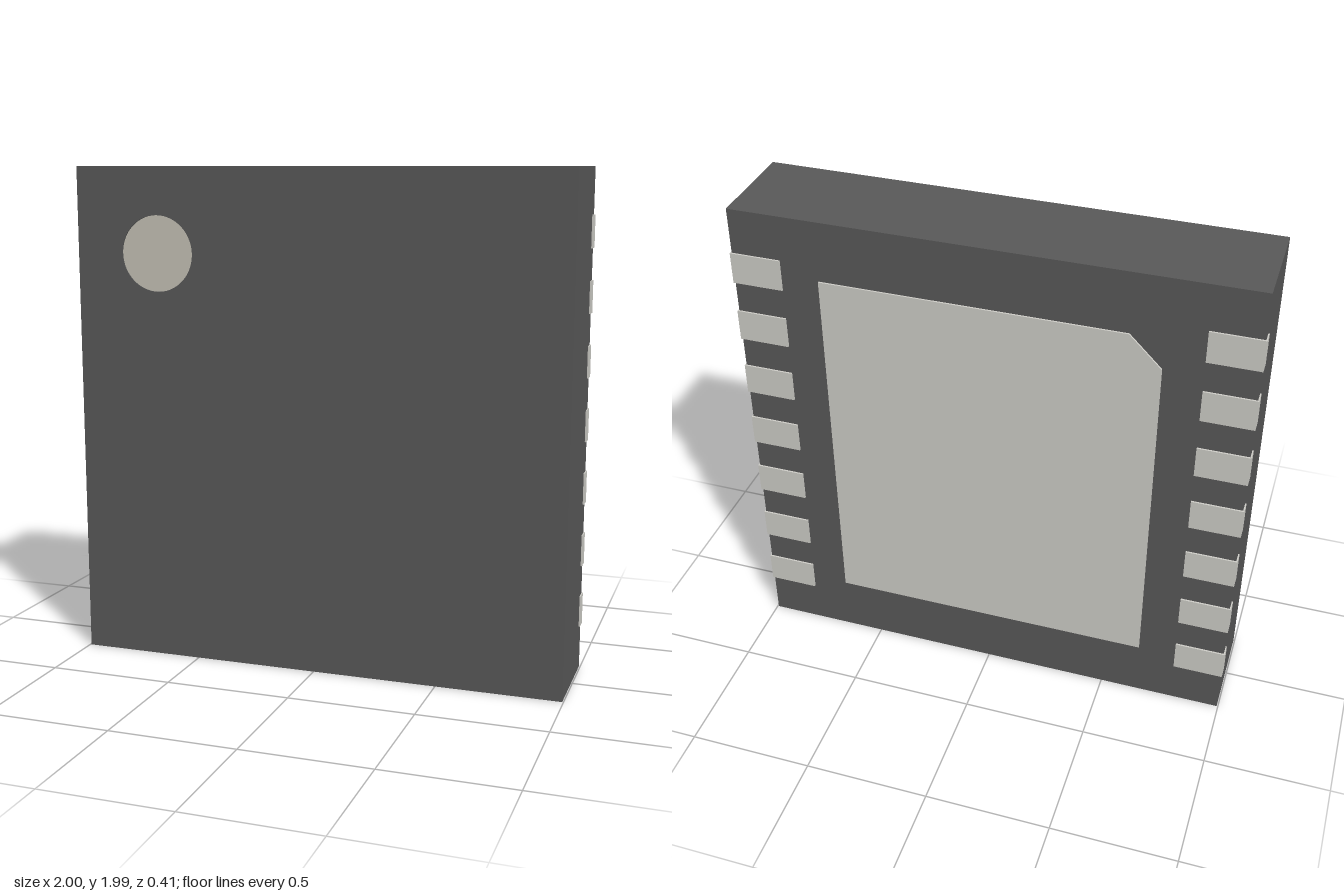
import * as THREE from 'three';

const HALF = 0.995, HEIGHT = 1.99;
const FRONT = 0.205, BACK = -0.198, PAD_BACK = -0.205;
const DOT = { x: -0.65, y: 1.65, r: 0.15, recess: 0.006 };

const bodyMat = new THREE.MeshStandardMaterial({ color: 0x595959 });
const dotMat = new THREE.MeshStandardMaterial({ color: 0xc6c3b7 });
const metalMat = new THREE.MeshStandardMaterial({ color: 0xcfcec8 });

function add(parent, name, geometry, material, x = 0, y = 0, z = 0) {
  const mesh = new THREE.Mesh(geometry, material);
  mesh.name = name;
  mesh.position.set(x, y, z);
  parent.add(mesh);
  return mesh;
}

function polygon(points) {
  return new THREE.Shape(points.map(([x, y]) => new THREE.Vector2(x, y)));
}

function extrude(shape, depth) {
  return new THREE.ExtrudeGeometry(shape, { depth, bevelEnabled: false, curveSegments: 48 });
}

export function createModel() {
  const model = new THREE.Group();
  model.name = 'chipPackage';

  // Moulded body: a solid slab behind a thin front skin with a round recess
  const body = new THREE.Group();
  body.name = 'body';
  model.add(body);
  const slabDepth = FRONT - DOT.recess - BACK;
  add(body, 'bodySlab', new THREE.BoxGeometry(2 * HALF, HEIGHT, slabDepth), bodyMat,
    0, HEIGHT / 2, BACK + slabDepth / 2);
  const skin = polygon([[-HALF, 0], [HALF, 0], [HALF, HEIGHT], [-HALF, HEIGHT]]);
  skin.holes.push(new THREE.Path().absarc(DOT.x, DOT.y, DOT.r, 0, Math.PI * 2, true));
  add(body, 'bodyFront', extrude(skin, DOT.recess), bodyMat, 0, 0, FRONT - DOT.recess);

  // Light disc on the floor of the recess
  add(model, 'cornerMarker', new THREE.CircleGeometry(DOT.r, 64), dotMat,
    DOT.x, DOT.y, FRONT - DOT.recess + 0.002);

  // Large back pad with one clipped corner
  const w = 0.65, low = 0.245, high = 1.745, clip = 0.125;
  const pad = polygon([[-w, low], [w, low], [w, high], [-w + clip, high], [-w, high - clip]]);
  add(model, 'thermalPad', extrude(pad, 0.05), metalMat, 0, 0, PAD_BACK);

  // Two columns of seven contacts wrapping the rear side edges
  const contacts = new THREE.Group();
  contacts.name = 'contacts';
  model.add(contacts);
  const contact = new THREE.BoxGeometry(0.2, 0.126, 0.052);
  for (const side of [-1, 1]) {
    for (let i = 0; i < 7; i++) {
      add(contacts, 'contact', contact, metalMat,
        side * 0.9, HEIGHT / 2 + (i - 3) * 0.25, PAD_BACK + 0.026);
    }
  }

  return model;
}
